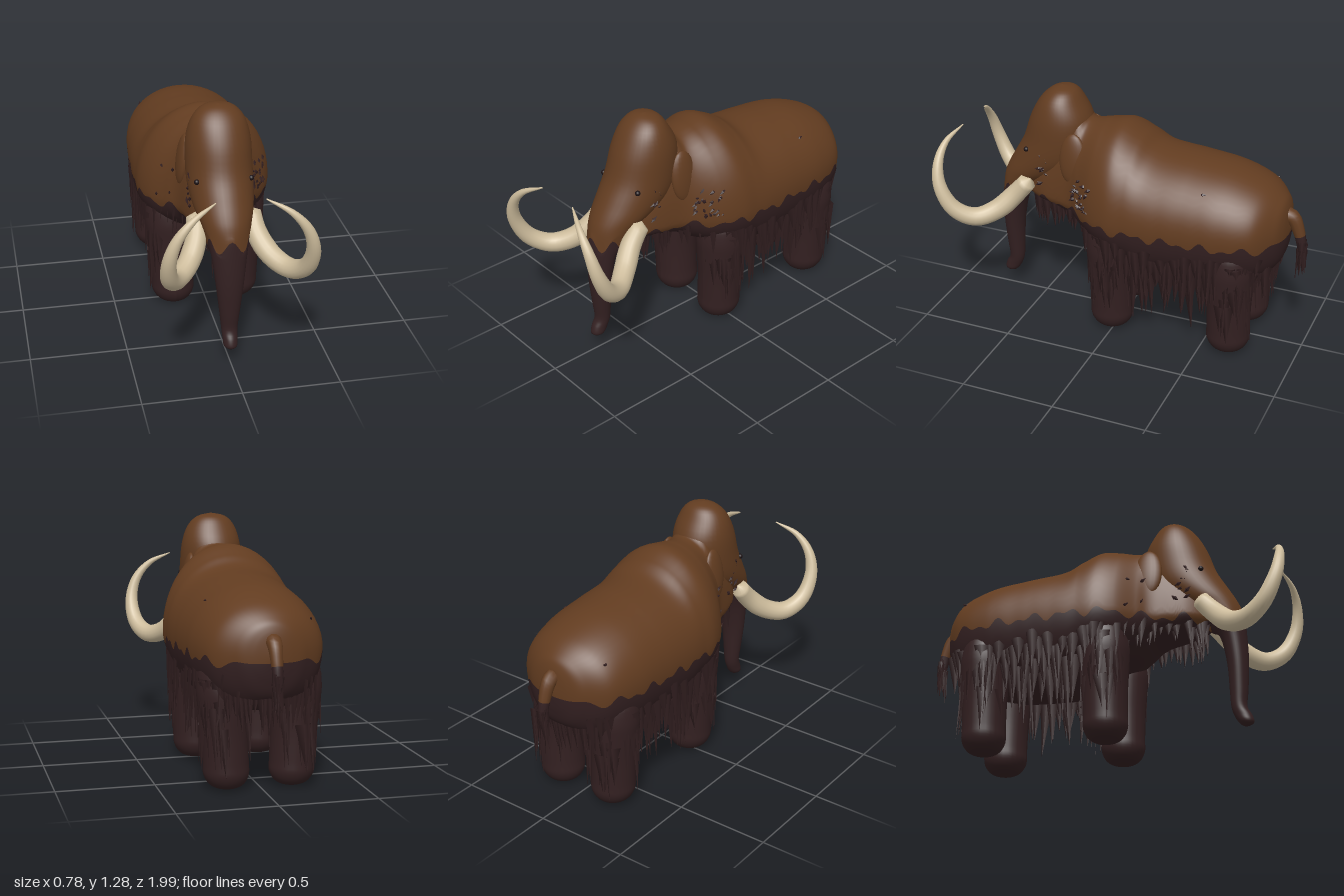
import * as THREE from 'three';
import { mergeGeometries } from 'three/addons/utils/BufferGeometryUtils.js';

const { sin, cos, abs, sign, max, min, PI } = Math;

// Small seeded random: rnd(a, b)
let seed = 7;
const rnd = (a, b) => {
  seed = (seed * 16807) % 2147483647;
  return a + (b - a) * seed / 2147483647;
};

// Smoothly subdivides a table of rows
function smoothRows(rows, n) {
  const out = [];
  const at = i => rows[max(0, min(rows.length - 1, i))];
  for (let i = 0; i < rows.length - 1; i++) for (let k = 0; k < n; k++) {
    const t = k / n;
    out.push(rows[i].map((_, c) => {
      const p0 = at(i - 1)[c], p1 = at(i)[c], p2 = at(i + 1)[c], p3 = at(i + 2)[c];
      return 0.5 * (2 * p1 + (p2 - p0) * t + (2 * p0 - 5 * p1 + 4 * p2 - p3) * t * t + (3 * p1 - p0 - 3 * p2 + p3) * t ** 3);
    }));
  }
  out.push(rows[rows.length - 1]);
  return out;
}

// Skins closed rings of [x, y, z]; pick(i, j) chooses the material slot of a face
function loft(rings, pick = () => 0) {
  const n = rings[0].length, slots = [[], []];
  for (let i = 0; i < rings.length - 1; i++) for (let j = 0; j < n; j++) {
    const a = i * n + j, b = i * n + (j + 1) % n;
    slots[pick(i, j)].push(a, b, a + n, b, b + n, a + n);
  }
  const g = new THREE.BufferGeometry();
  g.setAttribute('position', new THREE.Float32BufferAttribute(rings.flat(2), 3));
  g.setIndex(slots.flat());
  g.addGroup(0, slots[0].length, 0);
  g.addGroup(slots[0].length, slots[1].length, 1);
  g.computeVertexNormals();
  return g;
}

// Tapered tube along points, radius(t)
function horn(points, radius, steps = 40, sides = 16, pick) {
  const curve = new THREE.CatmullRomCurve3(points.map(p => new THREE.Vector3(...p)));
  const f = curve.computeFrenetFrames(steps);
  const rings = [];
  for (let i = 0; i <= steps; i++) {
    const c = curve.getPointAt(i / steps), r = radius(i / steps);
    rings.push(Array.from({ length: sides }, (_, j) => {
      const a = j / sides * 2 * PI;
      return c.clone().addScaledVector(f.normals[i], r * cos(a)).addScaledVector(f.binormals[i], r * sin(a)).toArray();
    }));
  }
  return loft(rings, pick);
}

// Body sections: z, bottom, top, half width
const BODY = [
  [-0.9, 0.72, 0.72, 0], [-0.885, 0.6, 0.84, 0.1], [-0.85, 0.51, 0.9, 0.18], [-0.76, 0.44, 0.965, 0.28],
  [-0.6, 0.4, 1.02, 0.328], [-0.4, 0.385, 1.045, 0.345], [-0.2, 0.385, 1.065, 0.355], [-0.1, 0.42, 1.12, 0.355],
  [0, 0.46, 1.165, 0.352], [0.1, 0.5, 1.155, 0.315], [0.2, 0.55, 1.145, 0.24], [0.28, 0.6, 1.19, 0.188],
  [0.45, 0.64, 1.04, 0.145], [0.55, 0.67, 0.88, 0.08], [0.6, 0.72, 0.72, 0]];
const MID = 0.72;

// Half width of the body at a height and length position
function sideX(y, z) {
  const i = max(1, BODY.findIndex(r => r[0] >= z));
  const p = BODY[i - 1], q = BODY[i], t = (z - p[0]) / (q[0] - p[0]);
  const [, lo, hi, w] = p.map((v, c) => v + (q[c] - v) * t);
  const s = min(1, abs(y - MID) / (y > MID ? hi - MID : MID - lo));
  return w * (1 - s * s) ** (y > MID ? 0.5 : 0.375);
}

function bodyGeometry() {
  const up = 28, low = 20;
  const rings = smoothRows(BODY, 16).map(([z, lo, hi, w]) => {
    const cut = 0.685 + 0.016 * sin(33 * z) + 0.014 * sin(59 * z + 1);
    const a0 = Math.asin(max(-1, min(0, (cut - MID) / max(0.001, MID - lo))));
    return Array.from({ length: up + low }, (_, j) => {
      const a = j < up ? a0 + (PI - 2 * a0) * j / up : PI - a0 + (PI + 2 * a0) * (j - up) / low;
      const s = sin(a), c = cos(a);
      return [max(0, w) * (s < 0 ? sign(c) * abs(c) ** 0.75 : c), MID + s * (s < 0 ? MID - lo : hi - MID), z];
    });
  });
  return loft(rings, (i, j) => (j < up ? 0 : 1));
}

// Head and trunk sections, top down: y, back z, front z, half width
function headGeometry() {
  const rows = [
    [1.305, 0.365, 0.375, 0], [1.287, 0.3, 0.43, 0.078], [1.23, 0.255, 0.49, 0.132], [1.13, 0.205, 0.545, 0.162],
    [1.0, 0.2, 0.59, 0.168], [0.9, 0.23, 0.645, 0.165], [0.82, 0.33, 0.69, 0.15], [0.76, 0.44, 0.715, 0.128],
    [0.68, 0.55, 0.73, 0.105], [0.6, 0.6, 0.737, 0.088], [0.45, 0.628, 0.74, 0.07], [0.3, 0.635, 0.73, 0.052],
    [0.21, 0.64, 0.722, 0.042], [0.16, 0.655, 0.745, 0.038], [0.12, 0.68, 0.752, 0.033], [0.1, 0.71, 0.715, 0]];
  const cut = 32;
  const rings = smoothRows(rows, 4).map(([y, back, front, w], i) => Array.from({ length: 40 }, (_, j) => {
    const a = j / 40 * 2 * PI;
    const dy = 0.035 * sin(5 * a) * Math.exp(-(((i - cut) / 2) ** 2));
    return [max(0, w) * cos(a), y + dy, (back + front) / 2 + (front - back) / 2 * sin(a)];
  }));
  return loft(rings, i => (i < cut ? 0 : 1));
}

// One pointed lock of hair hanging from x, y, z; facing = outward angle round y
function lock(x, y, z, len, width, facing, flare = 0.06) {
  return new THREE.ConeGeometry(width, len, 4, 1, true).rotateX(PI).translate(0, -len / 2, 0)
    .scale(1, 1, 0.25).rotateZ(rnd(-0.08, 0.08)).rotateX(-flare).rotateY(facing).translate(x, y, z);
}

export function createModel() {
  seed = 7;
  const model = new THREE.Group();
  const mat = (name, color) => Object.assign(new THREE.MeshStandardMaterial({ color }), { name });
  const brown = mat('brownFur', 0x623c20), dark = mat('darkFur', 0x332021);
  const ivory = mat('ivory', 0xcdbc9c), black = mat('eyeDark', 0x1c1214);
  const hairMat = mat('hangingHair', 0x332021);
  hairMat.side = THREE.DoubleSide;
  const add = (name, geo, m) => {
    const mesh = new THREE.Mesh(geo, m);
    mesh.name = name;
    model.add(mesh);
  };

  add('body', bodyGeometry(), [brown, dark]);
  add('headAndTrunk', headGeometry(), [brown, dark]);

  // Tail
  add('tail', horn([[0, 0.78, -0.83], [0, 0.785, -0.9], [0, 0.7, -0.945], [0, 0.58, -0.97]],
    t => 0.045 * (1 - 0.55 * t), 20, 10, i => (i < 13 ? 0 : 1)), [brown, dark]);

  const legProfile = [[0, 0.02], [0.05, 0.026], [0.09, 0.048], [0.114, 0.095], [0.115, 0.16], [0.118, 0.3],
    [0.128, 0.44], [0.13, 0.54], [0.1, 0.65], [0, 0.68]].map(p => new THREE.Vector2(...p));
  const legCurve = new THREE.SplineCurve(legProfile).getPoints(36).map(p => p.set(max(0, p.x), p.y));
  const skirt = [], legHair = [], chin = [], tufts = [];

  for (const s of [1, -1]) {
    const side = s > 0 ? 'left' : 'right', out = s * PI / 2;

    // Tusk
    add(side + 'Tusk', horn([[0.14, 0.79, 0.51], [0.153, 0.69, 0.595], [0.205, 0.605, 0.68], [0.28, 0.572, 0.78],
      [0.335, 0.63, 0.88], [0.348, 0.76, 0.95], [0.312, 0.88, 0.97], [0.235, 0.97, 0.96], [0.12, 1.03, 0.915]]
      .map(([x, y, z]) => [s * x, y, z]), t => (t === 0 ? 0 : 0.003 + 0.055 * (1 - t ** 2) * min(1, 0.8 + t))), ivory);

    // Eye and ear
    add(side + 'Eye', new THREE.SphereGeometry(0.014, 14, 10).translate(s * 0.137, 0.96, 0.53), black);
    add(side + 'Ear', new THREE.SphereGeometry(1, 20, 14).scale(0.032, 0.14, 0.075).rotateZ(s * 0.12)
      .translate(s * 0.158, 0.96, 0.25), brown);

    // Legs with shaggy hair
    for (const [name, x, z] of [['Front', 0.172, 0.02], ['Rear', 0.165, -0.64]]) {
      const leg = new THREE.LatheGeometry(legCurve, 28);
      const p = leg.attributes.position;
      for (let i = 0; i < p.count; i++) p.setX(i, p.getX(i) + s * 0.04 * p.getY(i));
      leg.translate(s * x, 0, z);
      leg.computeVertexNormals();
      add(side + name + 'Leg', leg, dark);
      for (let k = 0; k < 20; k++) {
        const f = out + rnd(-1.5, 1.5), y = rnd(0.34, 0.6);
        legHair.push(lock(s * (x + 0.04 * y) + 0.121 * sin(f), y, z + 0.121 * cos(f),
          rnd(0.14, 0.26), rnd(0.025, 0.045), f, 0.03));
      }
      // Long strands behind the legs
      for (let k = 0; k < 7; k++)
        legHair.push(lock(s * rnd(0.08, 0.26), 0.45, z - 0.11, rnd(0.22, 0.43), 0.026, PI, 0.04));
    }

    // Flank fringe just under the colour edge
    for (let k = 0; k < 36; k++) {
      const z = -0.82 + 0.95 * k / 35, y = rnd(0.52, 0.63);
      skirt.push(lock(s * (sideX(y, z) - 0.006), y, z, rnd(0.1, 0.25), rnd(0.025, 0.042), out, 0.03));
    }
    // Belly skirt
    for (let k = 0; k < 20; k++) {
      const z = -0.52 + 0.4 * k / 19;
      skirt.push(lock(s * rnd(0.2, 0.28), 0.48, z, rnd(0.12, 0.35), rnd(0.028, 0.042), out, 0));
    }
    // Rump fringe
    for (let k = 0; k < 12; k++) {
      const x = 0.01 + 0.22 * k / 11;
      skirt.push(lock(s * x, 0.6, -0.85 + x * x * 1.6, rnd(0.16, 0.28), 0.036, PI - s * x * 3, -0.08));
    }
    // Chin and neck fringe
    for (let k = 0; k < 22; k++) {
      const z = rnd(0.14, 0.53);
      chin.push(lock(s * sideX(0.68, z) * rnd(0.5, 1), 0.68, z, rnd(0.08, 0.17), rnd(0.018, 0.034), out, 0.03));
    }
    // Small dark tufts on cheek and shoulder
    const tuft = (x, y, z) => tufts.push(new THREE.OctahedronGeometry(rnd(0.01, 0.02))
      .scale(0.5, 0.6, 1.3).rotateX(rnd(-1, 1)).translate(s * x, y, z));
    for (let k = 0; k < 12; k++) tuft(0.16, rnd(0.78, 0.98), rnd(0.39, 0.46));
    for (let k = 0; k < (s > 0 ? 24 : 4); k++) {
      const y = rnd(0.72, 0.9), z = rnd(0.1, 0.23);
      tuft(sideX(y, z) + 0.002, y, z);
    }
    const spotZ = s > 0 ? -0.5 : -0.75, spotY = s > 0 ? 0.94 : 0.87;
    tuft(sideX(spotY, spotZ), spotY, spotZ);
  }

  // Tail tassel
  const tassel = Array.from({ length: 14 }, (_, k) => {
    const f = k / 14 * 2 * PI;
    return lock(0.02 * sin(f), rnd(0.58, 0.68), -0.965 + 0.02 * cos(f), rnd(0.12, 0.2), 0.024, f, 0.04);
  });

  add('skirtHair', mergeGeometries(skirt), hairMat);
  add('legHair', mergeGeometries(legHair), hairMat);
  add('chinHair', mergeGeometries(chin), hairMat);
  add('tailTassel', mergeGeometries(tassel), hairMat);
  add('darkTufts', mergeGeometries(tufts), dark);
  return model;
}
